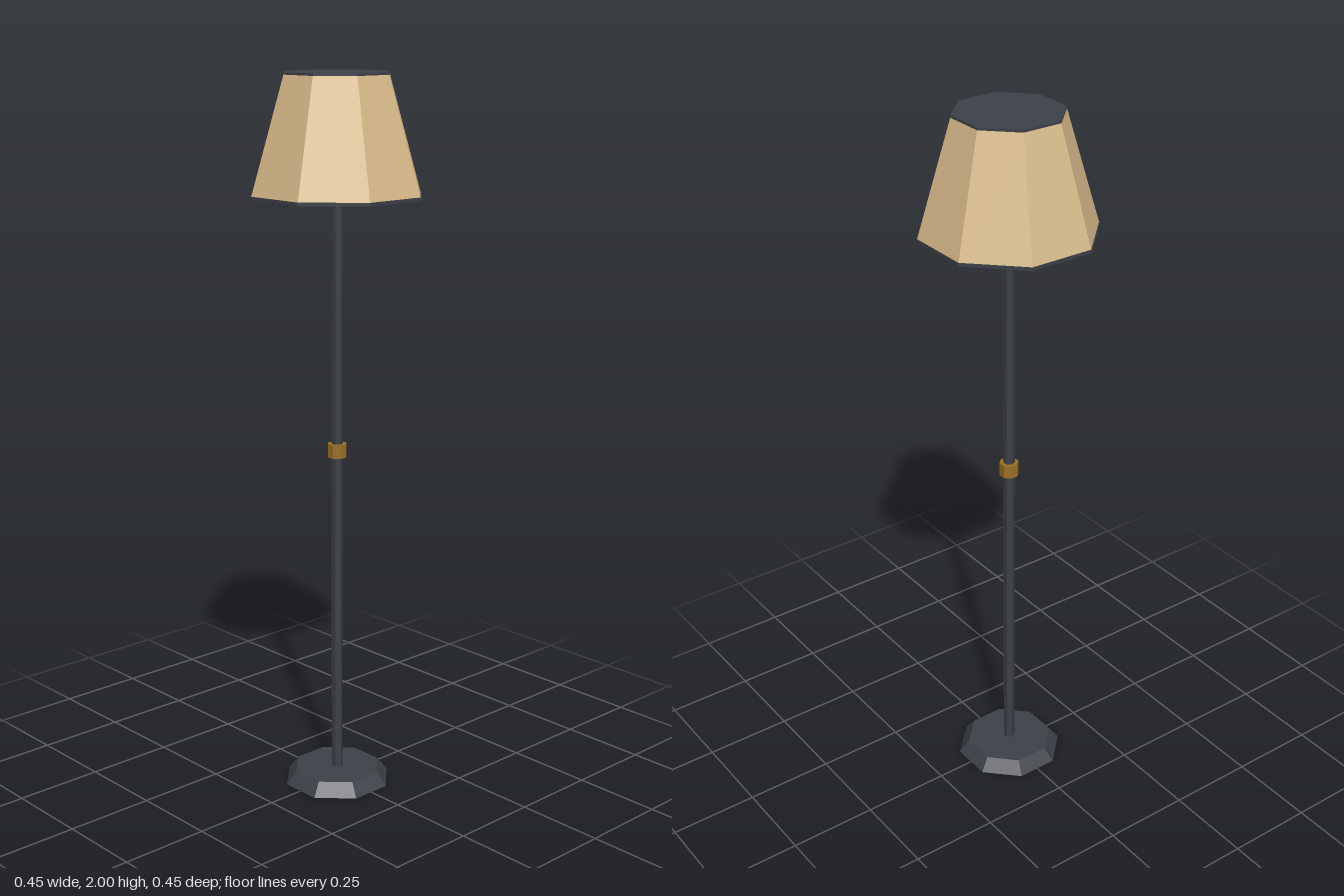
import * as THREE from 'three';

const material = (name, color) => {
  const m = new THREE.MeshStandardMaterial({ color, flatShading: true });
  m.name = name;
  return m;
};

export function createModel() {
  const lamp = new THREE.Group();
  lamp.name = 'floorLamp';

  const darkMetal = material('darkMetal', 0x3c4148);
  const brass = material('brass', 0x9c6f26);
  const fabric = material('shadeFabric', 0xd9bb8b);

  // Upright prism between two heights; octagons get flats facing the axes
  const prism = (name, mat, rBottom, rTop, y0, y1, sides = 8, open = false) => {
    const geometry = new THREE.CylinderGeometry(rTop, rBottom, y1 - y0, sides, 1, open);
    if (sides === 8) geometry.rotateY(Math.PI / 8);
    const mesh = new THREE.Mesh(geometry, mat);
    mesh.name = name;
    mesh.position.y = (y0 + y1) / 2;
    lamp.add(mesh);
  };

  // Base and stem
  prism('base', darkMetal, 0.154, 0.125, 0, 0.037);
  prism('pole', darkMetal, 0.016, 0.016, 0.037, 1.68, 6);
  prism('collar', brass, 0.027, 0.027, 0.96, 0.998);

  // Shade with closed dark rims
  prism('lowerRim', darkMetal, 0.242, 0.242, 1.675, 1.684);
  prism('shade', fabric, 0.239, 0.148, 1.684, 1.994, 8, true);
  prism('upperRim', darkMetal, 0.148, 0.148, 1.994, 2.0);

  return lamp;
}
